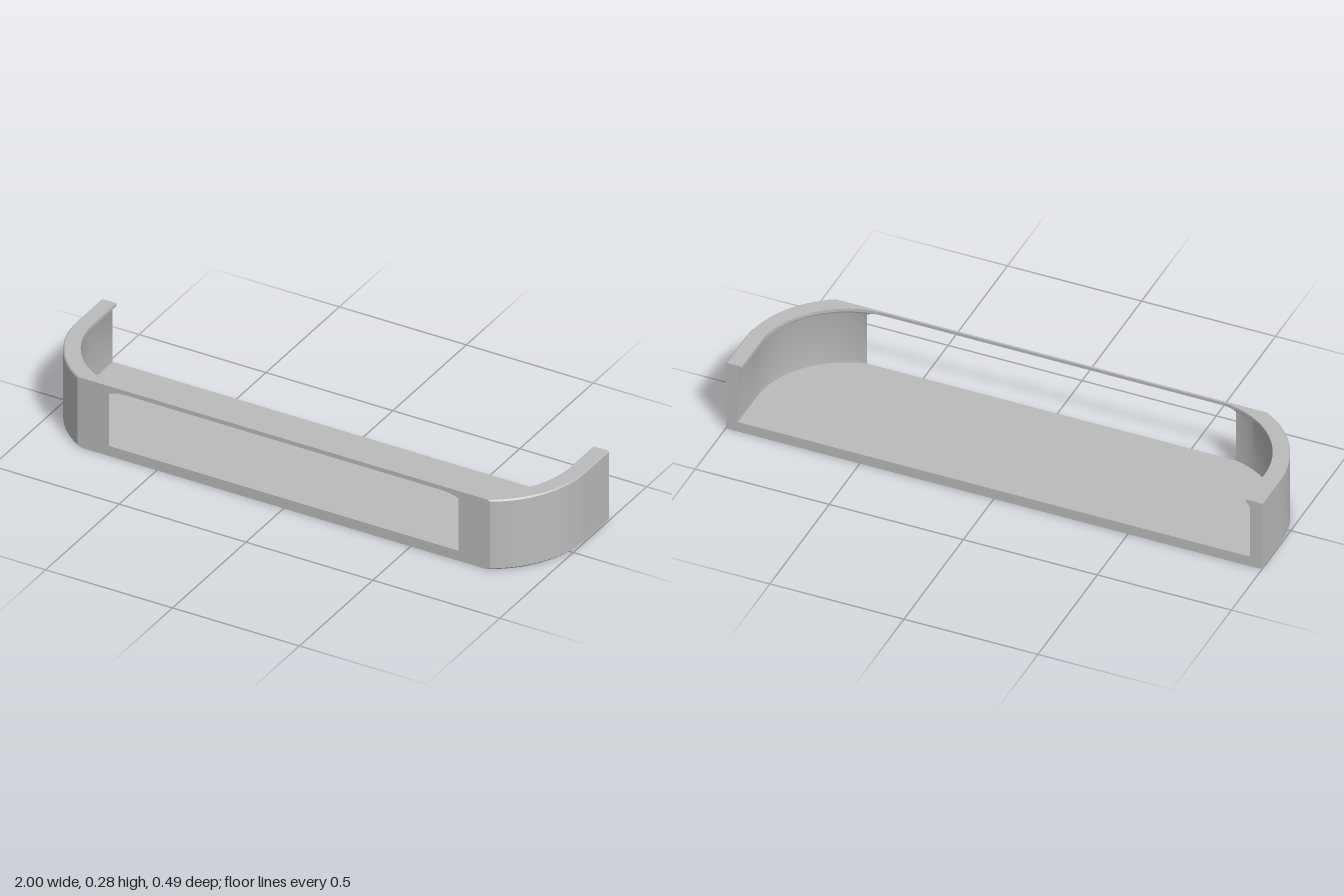
import * as THREE from 'three';
import { toCreasedNormals } from 'three/addons/utils/BufferGeometryUtils.js';

const CX = 0.62, CZ = -0.085;   // centre of the rounded corners
const FRONT = 0.243, BACK = -0.243;
const FLOOR = 0.04, TOP = 0.278;

// Wall sections as [corner radius, height]
const outer = [[0.373, 0], [0.38, 0.007], [0.38, 0.273], [0.376, TOP]];
const rim = [[0.376, TOP], [0.32, TOP], [0.32, 0.266], [0.328, 0.262]];
const cavity = [[0.328, 0.262], [0.3293, 0.26], [0.3315, 0.256], [0.335, 0.248], [0.335, FLOOR]];

// Where a corner of radius r meets the flat front
const reach = r => Math.min(FRONT - CZ, r);
const frontX = r => CX + Math.sqrt(r * r - reach(r) ** 2);

// Plan outline from the left rear, round the front, to the right rear
function outline(r, steps = 24) {
  const end = Math.asin(reach(r) / r);
  const half = [[CX + r, BACK]];
  for (let i = 0; i <= steps; i++) {
    const a = end * i / steps;
    half.push([CX + r * Math.cos(a), CZ + r * Math.sin(a)]);
  }
  return [...half, ...half.map(([x, z]) => [-x, z]).reverse()];
}

// Skin between sections, leaving the flat front open
function loft(section) {
  const rows = section.map(([r, y]) => outline(r).map(([x, z]) => [x, y, z]));
  const pos = [];
  for (let i = 0; i < rows.length - 1; i++) {
    for (let k = 0; k < rows[0].length - 1; k++) {
      const a = rows[i][k], b = rows[i + 1][k], c = rows[i + 1][k + 1], d = rows[i][k + 1];
      if ([a, b, c, d].every(p => Math.abs(p[2] - FRONT) < 1e-5)) continue;
      pos.push(...a, ...b, ...c, ...a, ...c, ...d);
    }
  }
  const g = new THREE.BufferGeometry();
  g.setAttribute('position', new THREE.Float32BufferAttribute(pos, 3));
  return toCreasedNormals(g, 0.5);
}

const vectors = pts => pts.map(([x, y]) => new THREE.Vector2(x, y));
// Close a right-hand outline with its mirror image
const mirrored = pts => vectors([...pts, ...pts.map(([x, y]) => [-x, y]).reverse()]);

export function createModel() {
  const group = new THREE.Group();
  const grey = new THREE.MeshStandardMaterial({ color: 0xbbbbbb });
  grey.name = 'plain grey';
  const add = (name, geometry) => {
    const mesh = new THREE.Mesh(geometry, grey);
    mesh.name = name;
    group.add(mesh);
  };

  // Curved walls, overhanging rim and inner cavity
  add('outerWall', loft(outer));
  add('rim', loft(rim));
  add('cavityWall', loft(cavity));

  // Front plate with its wide window
  const front = new THREE.Shape(mirrored(outer.map(([r, y]) => [frontX(r), y])));
  front.holes.push(new THREE.Path(mirrored(cavity.map(([r, y]) => [frontX(r), y]))));
  add('frontPlate', new THREE.ShapeGeometry(front).translate(0, 0, FRONT));

  // Floor of the tray and its underside
  const floor = new THREE.Shape(vectors(outline(0.335).map(([x, z]) => [x, -z])));
  add('floor', new THREE.ShapeGeometry(floor).rotateX(-Math.PI / 2).translate(0, FLOOR, 0));
  const base = new THREE.Shape(vectors(outline(0.373)));
  add('underside', new THREE.ShapeGeometry(base).rotateX(Math.PI / 2));

  // Cut face along the open back
  const section = [...outer, ...rim.slice(1), ...cavity.slice(1)];
  const end = new THREE.Shape(mirrored(section.map(([r, y]) => [CX + r, y])));
  add('backEdge', new THREE.ShapeGeometry(end).rotateY(Math.PI).translate(0, 0, BACK));

  return group;
}
